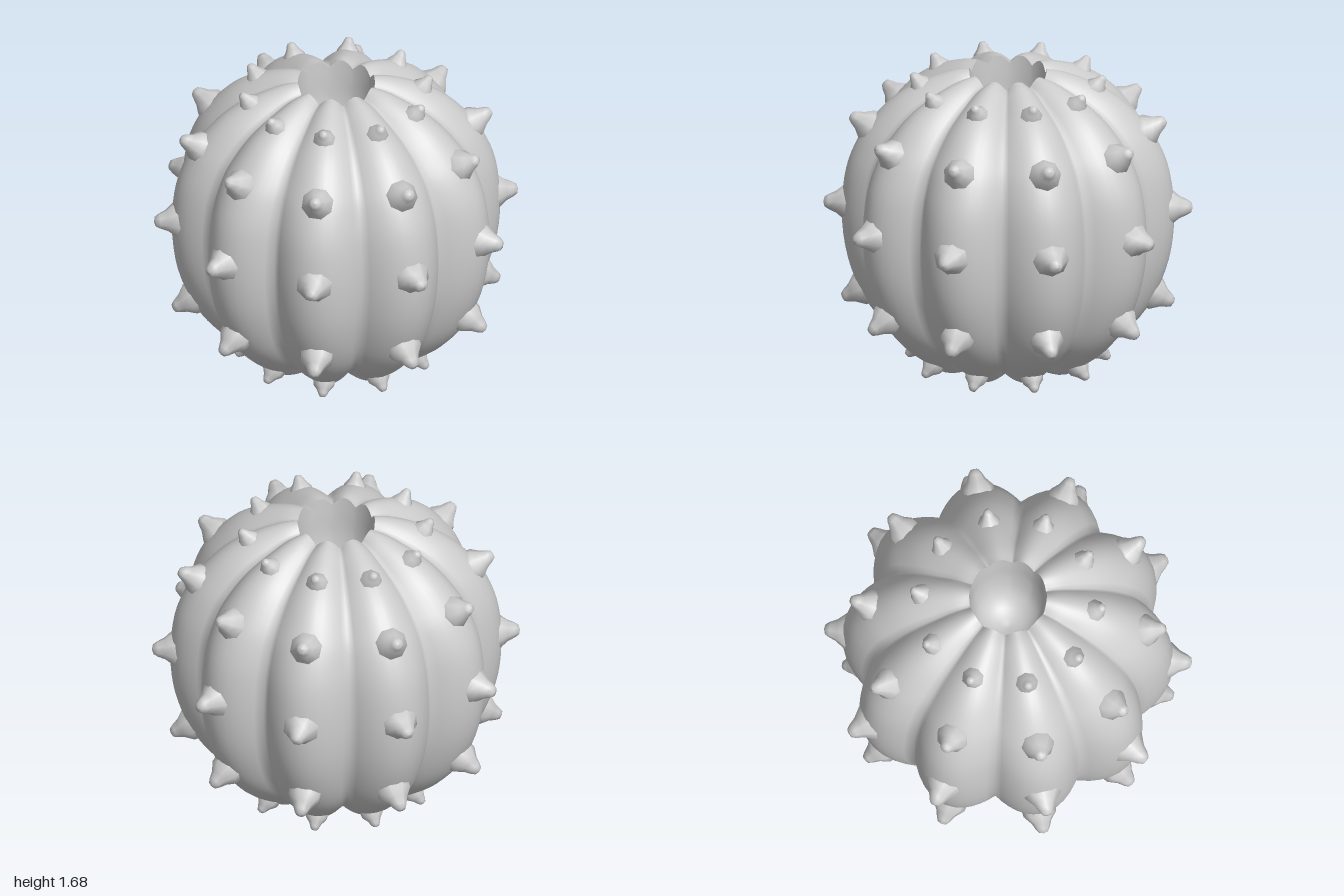
import * as THREE from 'three';
import { mergeVertices } from 'three/addons/utils/BufferGeometryUtils.js';

const RIBS = 10;
const material = new THREE.MeshStandardMaterial({ color: 0xcccccc, side: THREE.DoubleSide });

// Smooth curve through [radius, height] pairs, as lathe points
function profile(pairs, count) {
  const curve = new THREE.SplineCurve(pairs.map(([r, y]) => new THREE.Vector2(r, y)));
  const points = curve.getPoints(count);
  points.forEach(p => { p.x = Math.max(p.x, 0); });
  return points;
}

// Revolve a profile and sink a groove between each pair of ribs
function ribbedLathe(points) {
  let geometry = new THREE.LatheGeometry(points, RIBS * 12);
  const pos = geometry.attributes.position;
  for (let i = 0; i < pos.count; i++) {
    const x = pos.getX(i), y = pos.getY(i), z = pos.getZ(i);
    const r = Math.hypot(x, z);
    const groove = 1 - Math.abs(Math.cos(Math.atan2(z, x) * RIBS / 2));
    const scale = 1 - 0.145 * groove * THREE.MathUtils.smoothstep(r, 0.2, 0.45);
    const drop = 0.045 * THREE.MathUtils.smoothstep(y, 1.25, 1.66);
    const lift = 0.04 * THREE.MathUtils.smoothstep(r, 0, 0.25) * (1 - THREE.MathUtils.smoothstep(y, 0, 0.3));
    pos.setXYZ(i, x * scale, y + groove * (lift - drop), z * scale);
  }
  geometry.deleteAttribute('uv');
  geometry.deleteAttribute('normal');
  geometry = mergeVertices(geometry, 1e-5);
  geometry.computeVertexNormals();
  return geometry;
}

function addMesh(parent, geometry, name) {
  const mesh = new THREE.Mesh(geometry, material);
  mesh.name = name;
  parent.add(mesh);
  return mesh;
}

export function createModel() {
  const model = new THREE.Group();
  model.name = 'spikyRibbedPot';

  // Outer shell, from the underside up to the rim
  addMesh(model, ribbedLathe(profile([
    [0, 0.03], [0.2, 0.012], [0.39, 0.015], [0.5, 0.08], [0.65, 0.2], [0.78, 0.37],
    [0.87, 0.6], [0.9, 0.85], [0.877, 1.1], [0.81, 1.28], [0.72, 1.41], [0.6, 1.53],
    [0.45, 1.62], [0.3, 1.675], [0.21, 1.69],
  ], 56)), 'body');

  // Round well in the top
  addMesh(model, ribbedLathe(profile([
    [0.21, 1.69], [0.206, 1.6], [0.2, 1.45], [0.17, 1.31], [0.1, 1.23], [0, 1.2],
  ], 20)), 'well');

  // Blunt spike with a flared base, pointing along +y
  const spikeGeometry = new THREE.LatheGeometry([
    [0.108, -0.05], [0.1, 0.015], [0.06, 0.065], [0.042, 0.105], [0.027, 0.128], [0, 0.135],
  ].map(([r, y]) => new THREE.Vector2(r, y)), 8);

  // Rows of spikes along the ribs: radius, height, size, upward tilt in degrees
  const rows = [
    ['bottomSpikes', 0.49, 0.075, 0.6, -42],
    ['lowerSpikes', 0.79, 0.405, 0.9, -27],
    ['middleSpikes', 0.865, 0.905, 1, 0],
    ['upperSpikes', 0.755, 1.35, 0.86, 31],
    ['topSpikes', 0.475, 1.59, 0.6, 55],
  ];
  const up = new THREE.Vector3(0, 1, 0);
  for (const [name, radius, height, size, tilt] of rows) {
    const row = new THREE.Group();
    row.name = name;
    const t = THREE.MathUtils.degToRad(tilt);
    for (let i = 0; i < RIBS; i++) {
      const a = i / RIBS * Math.PI * 2;
      const spike = addMesh(row, spikeGeometry, 'spike');
      spike.position.set(radius * Math.cos(a), height, radius * Math.sin(a));
      const axis = new THREE.Vector3(Math.cos(a) * Math.cos(t), Math.sin(t), Math.sin(a) * Math.cos(t));
      spike.quaternion.setFromUnitVectors(up, axis);
      spike.scale.setScalar(size);
    }
    model.add(row);
  }
  return model;
}
